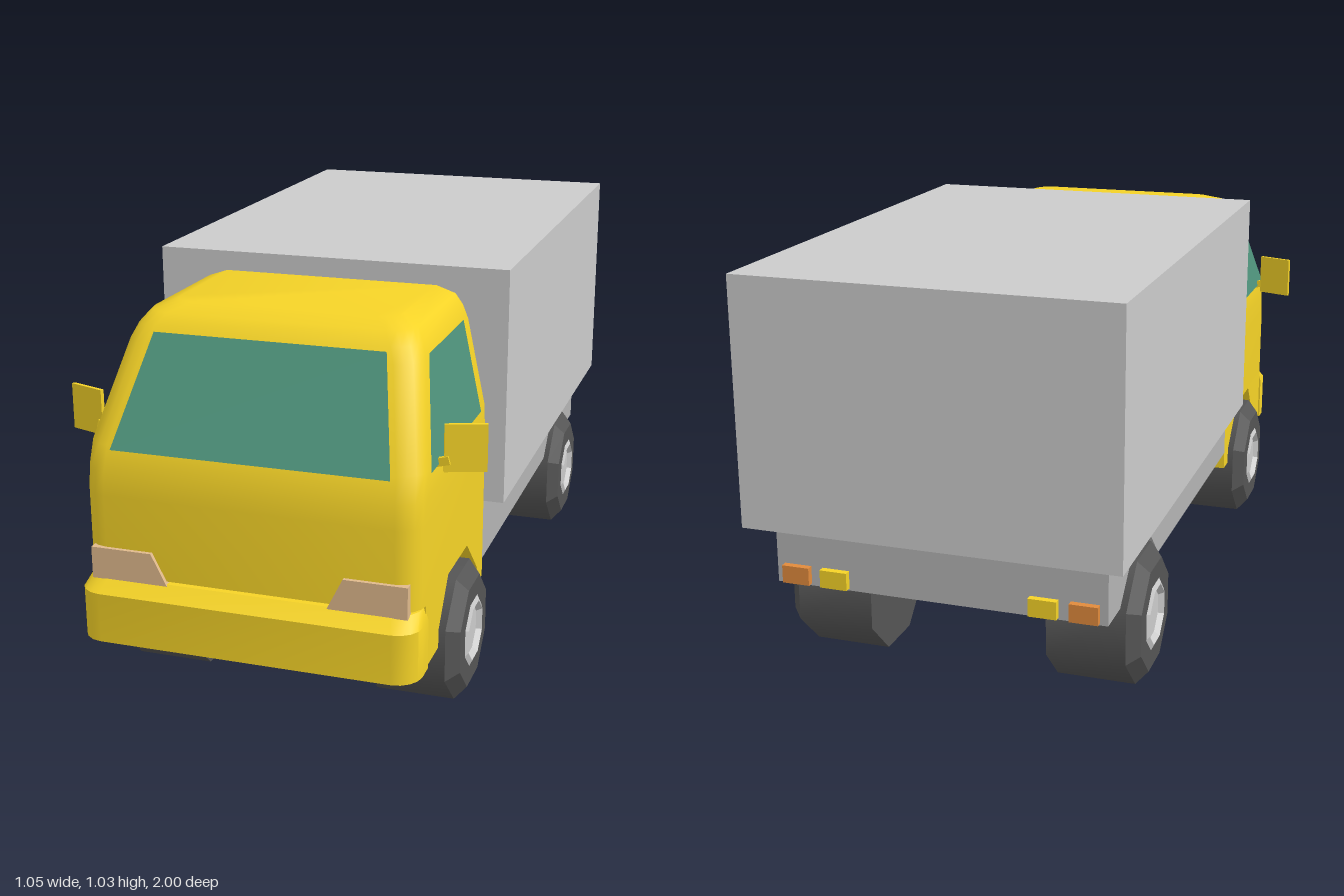
import * as THREE from 'three';
import { toCreasedNormals } from 'three/addons/utils/BufferGeometryUtils.js';

const mat = (color, extra = {}) => new THREE.MeshStandardMaterial({ color, ...extra });

// Stacks rounded-front plan outlines; each section is [y, halfWidth, frontZ, cornerRadius]
function loft(sections, backZ, crease) {
  const pos = [], idx = [], steps = 4;
  for (const [y, w, f, r] of sections) {
    const half = [[w, backZ]];
    for (let i = 0; i <= steps; i++) {
      const a = (i / steps) * Math.PI / 2;
      half.push([w - r + r * Math.cos(a), f - r + r * Math.sin(a)]);
    }
    const loop = half.concat(half.map(([x, z]) => [-x, z]).reverse());
    for (const [x, z] of loop) pos.push(x, y, z);
  }
  const n = 2 * (steps + 2), last = (sections.length - 1) * n;
  for (let k = 0; k < sections.length - 1; k++) {
    for (let j = 0; j < n; j++) {
      const a = k * n + j, b = k * n + (j + 1) % n;
      idx.push(b, a, a + n, b, a + n, b + n);
    }
  }
  for (let j = 1; j < n - 1; j++) {
    idx.push(0, j, j + 1, last, last + j + 1, last + j);
  }
  const g = new THREE.BufferGeometry();
  g.setAttribute('position', new THREE.Float32BufferAttribute(pos, 3));
  g.setIndex(idx);
  return toCreasedNormals(g, crease);
}

// Extrudes a side outline of [z, y] points from x0 to x1
function sidePanel(points, x0, x1) {
  const shape = new THREE.Shape(points.map(([z, y]) => new THREE.Vector2(-z, y)));
  return new THREE.ExtrudeGeometry(shape, { depth: x1 - x0, bevelEnabled: false })
    .rotateY(Math.PI / 2).translate(x0, 0, 0);
}

// Flat four-cornered pane
function pane(corners) {
  const g = new THREE.BufferGeometry();
  g.setAttribute('position', new THREE.Float32BufferAttribute(corners.flat(), 3));
  g.setIndex([0, 1, 2, 0, 2, 3]);
  g.computeVertexNormals();
  return g;
}

export function createModel() {
  const truck = new THREE.Group();
  truck.name = 'boxTruck';
  const yellow = mat(0xf5d327);
  const glass = mat(0x4f947c, { side: THREE.DoubleSide });
  const grey = mat(0xcccccc), frameGrey = mat(0xb4b4b4);
  const rubber = mat(0x555555), rubberFlat = mat(0x555555, { flatShading: true });
  const hubGrey = mat(0xcccccc, { flatShading: true });
  const beige = mat(0xdfb98c), orange = mat(0xe08a3c);

  const add = (name, geometry, material, parent = truck) => {
    const m = new THREE.Mesh(geometry, material);
    m.name = name;
    parent.add(m);
    return m;
  };
  const box = (name, material, w, h, d, x, y, z) =>
    add(name, new THREE.BoxGeometry(w, h, d).translate(x, y, z), material);

  // Cargo box and chassis core
  box('cargoBox', grey, 0.945, 0.62, 1.34, 0, 0.72, -0.33);
  box('chassisCore', frameGrey, 0.44, 0.16, 1.275, 0, 0.33, -0.2925);

  // Cab shell and front bumper
  add('cabShell', loft([
    [0.36, 0.42, 0.955, 0.06], [0.56, 0.42, 0.955, 0.06], [0.62, 0.419, 0.949, 0.06],
    [0.68, 0.416, 0.93, 0.06], [0.9, 0.369, 0.8, 0.06], [0.935, 0.355, 0.776, 0.06],
    [0.963, 0.335, 0.745, 0.06], [0.98, 0.285, 0.69, 0.05],
  ], 0.345, 0.8), yellow);
  box('cabFloor', yellow, 0.44, 0.16, 0.555, 0, 0.28, 0.6225);
  add('frontBumper', loft([
    [0.2, 0.425, 1.0, 0.06], [0.325, 0.425, 1.0, 0.06], [0.355, 0.415, 0.96, 0.06],
  ], 0.895, 0.6), yellow);

  // Windscreen, set just off the sloping cab front
  add('windscreen', pane([
    [-0.345, 0.672, 0.94], [0.345, 0.672, 0.94], [0.29, 0.926, 0.79], [-0.29, 0.926, 0.79],
  ]), glass);

  // Parts mirrored left and right
  for (const s of [1, -1]) {
    const side = s > 0 ? 'left' : 'right';
    const span = s > 0 ? [0.22, 0.42] : [-0.42, -0.22];

    // Lower body panels with wheel arches
    add(side + 'CabLowerSide', sidePanel([
      [0.345, 0.2], [0.4, 0.2], [0.4, 0.245], [0.515, 0.355], [0.7, 0.355],
      [0.785, 0.245], [0.785, 0.2], [0.9, 0.2], [0.9, 0.36], [0.345, 0.36],
    ], ...span), yellow);
    add(side + 'ChassisSide', sidePanel([
      [-0.93, 0.25], [-0.83, 0.25], [-0.715, 0.355], [-0.58, 0.355],
      [-0.47, 0.25], [0.345, 0.25], [0.345, 0.41], [-0.93, 0.41],
    ], ...span), frameGrey);

    // Door window
    add(side + 'Window', pane([
      [s * 0.421, 0.675, 0.87], [s * 0.421, 0.675, 0.4],
      [s * 0.371, 0.91, 0.4], [s * 0.371, 0.91, 0.72],
    ].slice().sort(() => 0)), glass);

    // Headlight
    const lamp = new THREE.Shape([[0.2, 0.35], [0.395, 0.35], [0.395, 0.43], [0.24, 0.43]]
      .map(([x, y]) => new THREE.Vector2(s * x, y)));
    add(side + 'Headlight', new THREE.ExtrudeGeometry(lamp, { depth: 0.027, bevelEnabled: false })
      .translate(0, 0, 0.938), beige);

    // Door mirror and arm
    const mirror = add(side + 'Mirror', new THREE.BoxGeometry(0.1, 0.115, 0.01), yellow);
    mirror.position.set(s * 0.478, 0.713, 0.783);
    mirror.rotation.y = s * 0.33;
    const arm = add(side + 'MirrorArm', new THREE.BoxGeometry(0.04, 0.02, 0.012), yellow);
    arm.position.set(s * 0.425, 0.68, 0.8);
    arm.rotation.z = s * 0.25;

    // Tail lights
    box(side + 'Indicator', orange, 0.07, 0.045, 0.02, s * 0.365, 0.278, -0.937);
    box(side + 'TailLight', yellow, 0.07, 0.045, 0.02, s * 0.265, 0.278, -0.937);
  }

  // Octagonal wheels with flats at the top and bottom; profile points are [apothem, x]
  const ring = (profile) => new THREE.LatheGeometry(
    profile.map(([r, x]) => new THREE.Vector2(r / Math.cos(Math.PI / 8), x)), 8, Math.PI / 8,
  ).rotateZ(-Math.PI / 2);
  const tread = toCreasedNormals(ring([[0, 0.23], [0.163, 0.23], [0.163, 0.43]]), 0.8);
  const sidewall = ring([[0.163, 0.43], [0.131, 0.46], [0.083, 0.46]]);
  const hub = ring([[0.083, 0.46], [0.07, 0.466], [0.06, 0.452], [0, 0.452]]);
  for (const [axle, z] of [['front', 0.595], ['rear', -0.65]]) {
    for (const s of [1, -1]) {
      const wheel = new THREE.Group();
      wheel.name = axle + (s > 0 ? 'Left' : 'Right') + 'Wheel';
      wheel.position.set(0, 0.163, z);
      wheel.rotation.y = s > 0 ? 0 : Math.PI;
      add('tread', tread, rubber, wheel);
      add('sidewall', sidewall, rubberFlat, wheel);
      add('hub', hub, hubGrey, wheel);
      truck.add(wheel);
    }
  }
  return truck;
}
